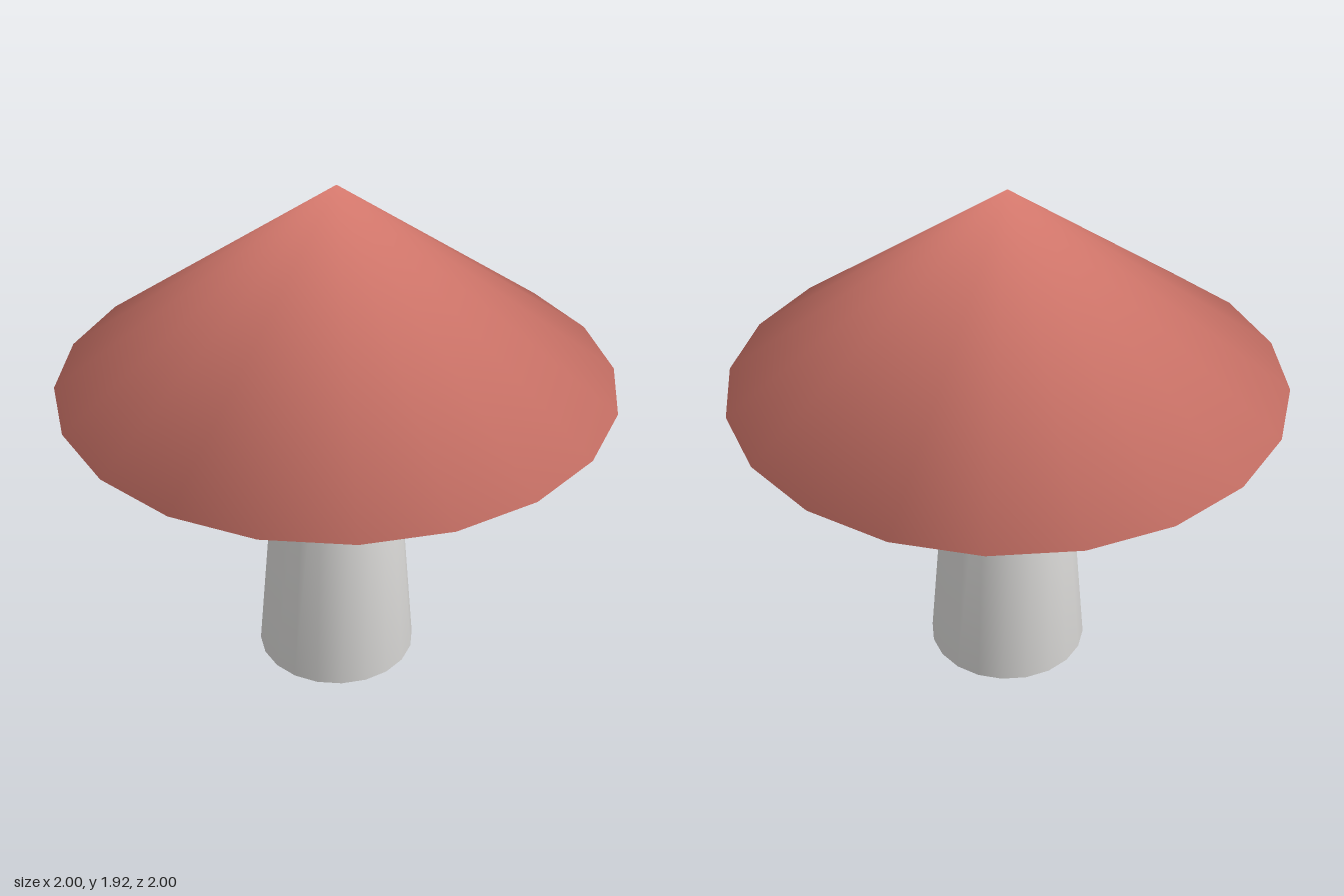
import * as THREE from 'three';
import { mergeVertices } from 'three/addons/utils/BufferGeometryUtils.js';

const SIDES = 20;

// Weld all seams so the shading runs smoothly over the rims
function weld(geometry) {
  geometry.deleteAttribute('normal');
  geometry.deleteAttribute('uv');
  const welded = mergeVertices(geometry, 1e-4);
  welded.computeVertexNormals();
  return welded;
}

function addPart(group, name, geometry, material, bottom, height) {
  const mesh = new THREE.Mesh(weld(geometry), material);
  mesh.name = name;
  mesh.position.y = bottom + height / 2;
  group.add(mesh);
}

export function createModel() {
  const capRed = new THREE.MeshStandardMaterial({ color: 0xdd7d71 });
  capRed.name = 'cap red';
  const stemWhite = new THREE.MeshStandardMaterial({ color: 0xdfdedc });
  stemWhite.name = 'stem white';

  const mushroom = new THREE.Group();
  mushroom.name = 'mushroom';

  // Tapered stem, its top tucked just inside the cap
  addPart(mushroom, 'stem', new THREE.CylinderGeometry(0.2, 0.297, 1.2, SIDES), stemWhite, 0, 1.2);

  // Wide conical cap with a closed underside
  addPart(mushroom, 'cap', new THREE.ConeGeometry(1, 0.75, SIDES), capRed, 1.17, 0.75);

  return mushroom;
}
